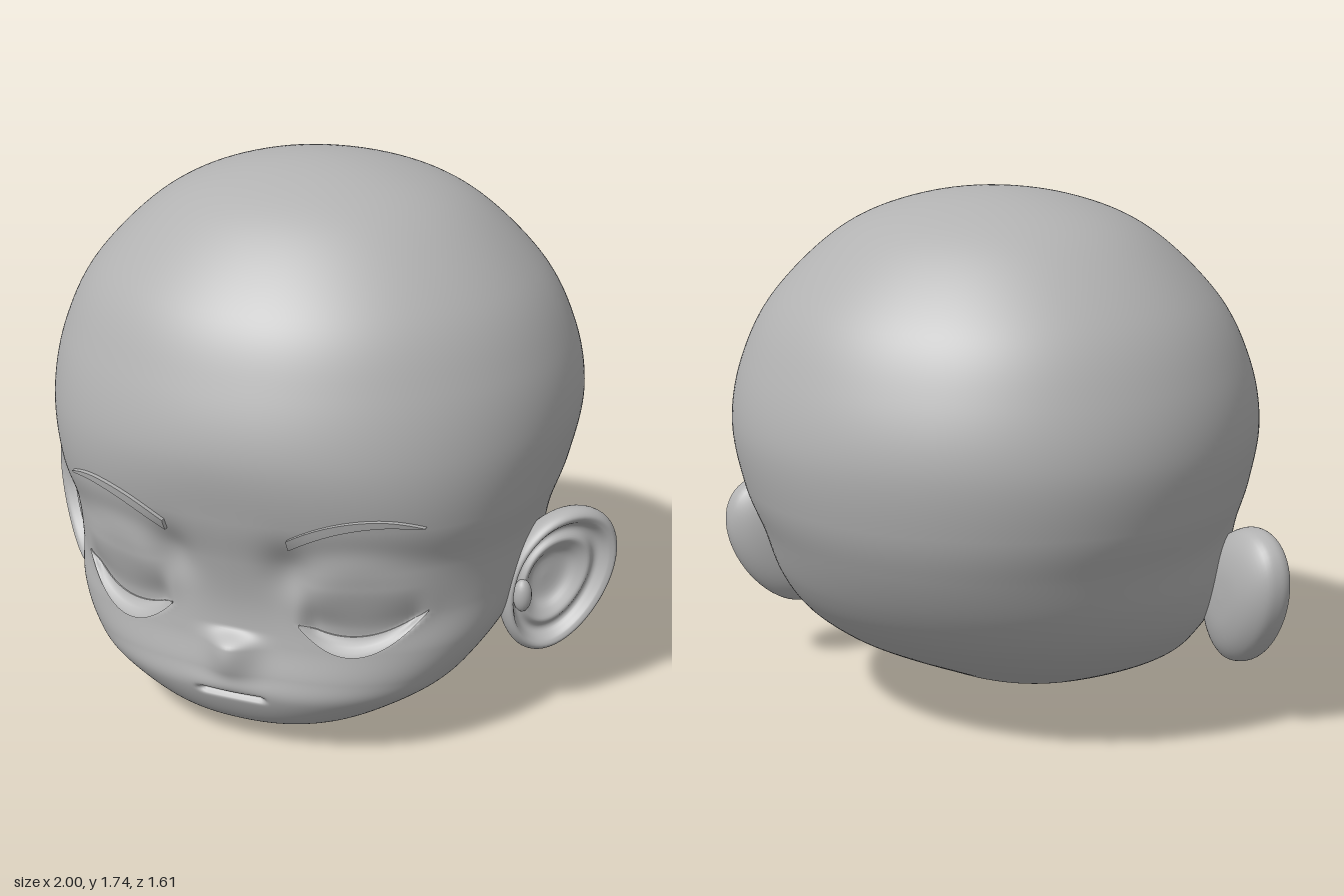
import * as THREE from 'three';
import { toCreasedNormals } from 'three/addons/utils/BufferGeometryUtils.js';

const ss = THREE.MathUtils.smoothstep;
const step = (x, a, b) => (a < b ? ss(x, a, b) : 1 - ss(x, b, a));
const bump = (a, b) => Math.exp(-a * a - b * b);

// Horizontal head slices: y, front z, back z, half width, centre z, front and back roundness
const SLICES = [
  [1.735, 0, 0, 0, 0, 2.1, 2.1],
  [1.70, 0.24, -0.25, 0.27, 0, 2.1, 2.1],
  [1.60, 0.45, -0.46, 0.50, 0, 2.1, 2.1],
  [1.40, 0.655, -0.66, 0.71, 0, 2.1, 2.1],
  [1.20, 0.755, -0.76, 0.815, 0, 2.1, 2.1],
  [1.00, 0.805, -0.805, 0.85, 0, 2.15, 2.1],
  [0.80, 0.775, -0.78, 0.815, 0, 2.4, 2.1],
  [0.65, 0.735, -0.725, 0.77, 0.03, 2.4, 2.1],
  [0.50, 0.705, -0.64, 0.745, 0.05, 2.5, 2.1],
  [0.38, 0.705, -0.54, 0.71, 0.10, 2.8, 2.1],
  [0.28, 0.725, -0.41, 0.65, 0.16, 2.8, 2.1],
  [0.20, 0.732, -0.27, 0.575, 0.22, 2.6, 2.1],
  [0.10, 0.68, -0.07, 0.41, 0.30, 2.4, 2.1],
  [0.05, 0.605, 0.04, 0.28, 0.33, 2.2, 2.1],
  [0.015, 0.50, 0.20, 0.14, 0.36, 2.1, 2.1],
  [0, 0.37, 0.37, 0, 0.37, 2.1, 2.1],
];
const LAST = SLICES.length - 1;

// Slice reflected through a pole, so the crown and chin close smoothly
const ghost = ([y, f, b, w, c, n, m]) => [y, b, f, -w, c, n, m];
const sliceRow = (i) => (i < 0 ? ghost(SLICES[1]) : i > LAST ? ghost(SLICES[LAST - 1]) : SLICES[i]);

function sliceAt(t) {
  const i = Math.min(Math.floor(t), LAST - 1), f = t - i;
  const [a, b, c, d] = [-1, 0, 1, 2].map((k) => sliceRow(i + k));
  return b.map((p, k) => p + 0.5 * f * (c[k] - a[k]
    + f * (2 * a[k] - 5 * p + 4 * c[k] - d[k] + f * (3 * (p - c[k]) + d[k] - a[k]))));
}

// Edges of the crescent under each eyelid
const eyeS = (x) => (x - 0.2) / 0.38;
const eyeEdge = (x, sag) => 0.465 + 0.055 * eyeS(x) - sag * 4 * eyeS(x) * (1 - eyeS(x));
const lidEdge = (x) => eyeEdge(x, 0.065);
const lowerEdge = (x) => eyeEdge(x, 0.12);

// Sculpted face relief, added along z
function relief(x, y) {
  const ax = Math.abs(x), s = eyeS(ax);
  let d = 0.055 * bump(x / 0.075, 0) * step(y, 0.42, 0.365) * step(y, 0.2, 0.36);
  d -= 0.022 * bump((y - 0.2) / 0.01, 0) * step(ax, 0.125, 0.09);
  d += 0.008 * bump(x / 0.1, (y - 0.23) / 0.025);
  d -= 0.03 * bump((ax - 0.19) / 0.07, (y - 0.63) / 0.09);
  d -= 0.02 * bump((ax - 0.4) / 0.27, (y - 0.62) / 0.14);
  const q = ((ax - 0.39) / 0.2) ** 2 + ((y - 0.575) / 0.13) ** 2;
  d += 0.032 * Math.exp(-q * q);
  if (s > 0 && s < 1) {
    d -= 0.032 * step(y, lowerEdge(ax), lidEdge(ax) + 0.001) * step(y, 0.6, 0.45)
      * step(s, 0, 0.15) * step(s, 1, 0.85);
  }
  return d;
}

// Front surface of the head at a given x and y
function faceZ(x, y) {
  let lo = 0, hi = LAST;
  for (let k = 0; k < 30; k++) {
    const mid = (lo + hi) / 2;
    if (sliceAt(mid)[0] > y) lo = mid; else hi = mid;
  }
  const [, f, , w, c, n] = sliceAt(lo);
  return c + (f - c) * Math.max(0, 1 - Math.abs(x / w) ** n) ** (1 / n) + relief(x, y);
}

// Surface from a rows x cols grid of points; wrap closes the columns
function gridGeometry(rows, cols, point, wrap, flip) {
  const pos = [], idx = [];
  const stride = wrap ? cols : cols + 1;
  for (let i = 0; i <= rows; i++) for (let j = 0; j < stride; j++) pos.push(...point(i, j));
  for (let i = 0; i < rows; i++) for (let j = 0; j < cols; j++) {
    const k = (j + 1) % stride;
    const a = i * stride + j, b = a + stride, c = i * stride + k, d = c + stride;
    if (flip) idx.push(a, b, c, b, d, c); else idx.push(a, c, b, b, c, d);
  }
  const g = new THREE.BufferGeometry();
  g.setAttribute('position', new THREE.Float32BufferAttribute(pos, 3));
  g.setIndex(idx);
  g.computeVertexNormals();
  return g;
}

function headGeometry() {
  // Finer rings across the face
  const ts = [];
  for (let i = 0; i < LAST; i++) {
    const n = i >= 6 && i < 12 ? 22 : 9;
    for (let k = 0; k < n; k++) ts.push(i + k / n);
  }
  ts.push(LAST);
  const rings = ts.map(sliceAt), cols = 240;
  return gridGeometry(rings.length - 1, cols, (i, j) => {
    const [y, f, b, w, c, nf, nb] = rings[i];
    const t = (j / cols) * Math.PI * 2, a = t + 0.4 * Math.cos(t);
    const ca = Math.cos(a), sa = Math.sin(a), n = sa > 0 ? nf : nb;
    const r = (Math.abs(ca) ** n + Math.abs(sa) ** n) ** (-1 / n);
    const x = w * r * ca;
    const z = c + (sa > 0 ? f - c : c - b) * r * sa;
    return [x, y, z + (sa > 0 ? relief(x, y) * ss(z, 0.2, 0.45) : 0)];
  }, true, false);
}

// Thin raised strip lying on the face between two edge curves
function stripGeometry(side, x0, x1, top, bottom, lift) {
  const n = 32, across = [0, 0, 0.25, 0.5, 0.75, 1, 1];
  const g = gridGeometry(n + 2, across.length - 1, (i, j) => {
    const x = x0 + (x1 - x0) * THREE.MathUtils.clamp((i - 1) / n, 0, 1);
    const y = THREE.MathUtils.lerp(top(x), bottom(x), across[j]);
    const sunk = i === 0 || i === n + 2 || j === 0 || j === across.length - 1;
    return [side * x, y, faceZ(x, y) + (sunk ? -0.012 : lift)];
  }, false, side < 0);
  return toCreasedNormals(g, 0.7);
}

// Ear frame: u runs outward and back, n faces forward and outward
const EAR = { x: 0.845, y: 0.455, z: 0.085 };
const earPoint = (side, u, v, n) =>
  [side * (EAR.x + 0.73 * u + 0.68 * n), EAR.y + v, EAR.z - 0.68 * u + 0.73 * n];

function earGeometry(side) {
  // Radius and height from the hollow, over the rim, round the back
  const profile = new THREE.SplineCurve([
    [0, -0.04], [0.3, -0.038], [0.46, -0.012], [0.58, 0.004], [0.68, -0.012], [0.76, -0.008],
    [0.84, 0.02], [0.92, 0.028], [0.985, 0.012], [1, -0.015], [0.94, -0.055],
    [0.72, -0.09], [0.4, -0.11], [0, -0.115],
  ].map(([r, h]) => new THREE.Vector2(r, h))).getPoints(52);
  const cols = 56;
  return gridGeometry(profile.length - 1, cols, (i, j) => {
    const a = (j / cols) * Math.PI * 2, { x: r, y: h } = profile[i];
    const v = 0.235 * r * Math.sin(a);
    const inner = i < 26 ? -0.03 * (1 - r) : 0;
    const u = 0.19 * r * Math.cos(a) * (1 + 0.1 * Math.sin(a)) + 0.22 * v + inner;
    return earPoint(side, u, v, h);
  }, true, side > 0);
}

export function createModel() {
  const model = new THREE.Group();
  model.name = 'head';
  const clay = new THREE.MeshStandardMaterial({ color: 0xb2b2b2 });
  clay.name = 'grey clay';
  const add = (name, geometry) => {
    const mesh = new THREE.Mesh(geometry, clay);
    mesh.name = name;
    model.add(mesh);
    return mesh;
  };

  add('skullAndFace', headGeometry());

  // Eyebrow edges: tapered outside, blunt inside
  const browTop = (x) => 0.845 - 0.95 * (x - 0.45) ** 2 * (x < 0.45 ? 1.35 : 2.1);
  const browWidth = (x) => 0.038 * Math.sqrt(Math.max(0, (0.58 - x) / 0.38));

  for (const side of [1, -1]) {
    const label = side > 0 ? 'left' : 'right';
    add(label + 'Ear', earGeometry(side));

    // Small flap in front of the ear hollow
    const flap = add(label + 'EarFlap', new THREE.SphereGeometry(1, 20, 14));
    flap.scale.set(0.03, 0.055, 0.03);
    flap.position.set(...earPoint(side, -0.125, -0.035, 0));

    add(label + 'Eyebrow', stripGeometry(side, 0.2, 0.58, browTop, (x) => browTop(x) - browWidth(x), 0.016));
    add(label + 'LowerLid', stripGeometry(side, 0.21, 0.57, lidEdge, lowerEdge, 0.005));
  }
  return model;
}
